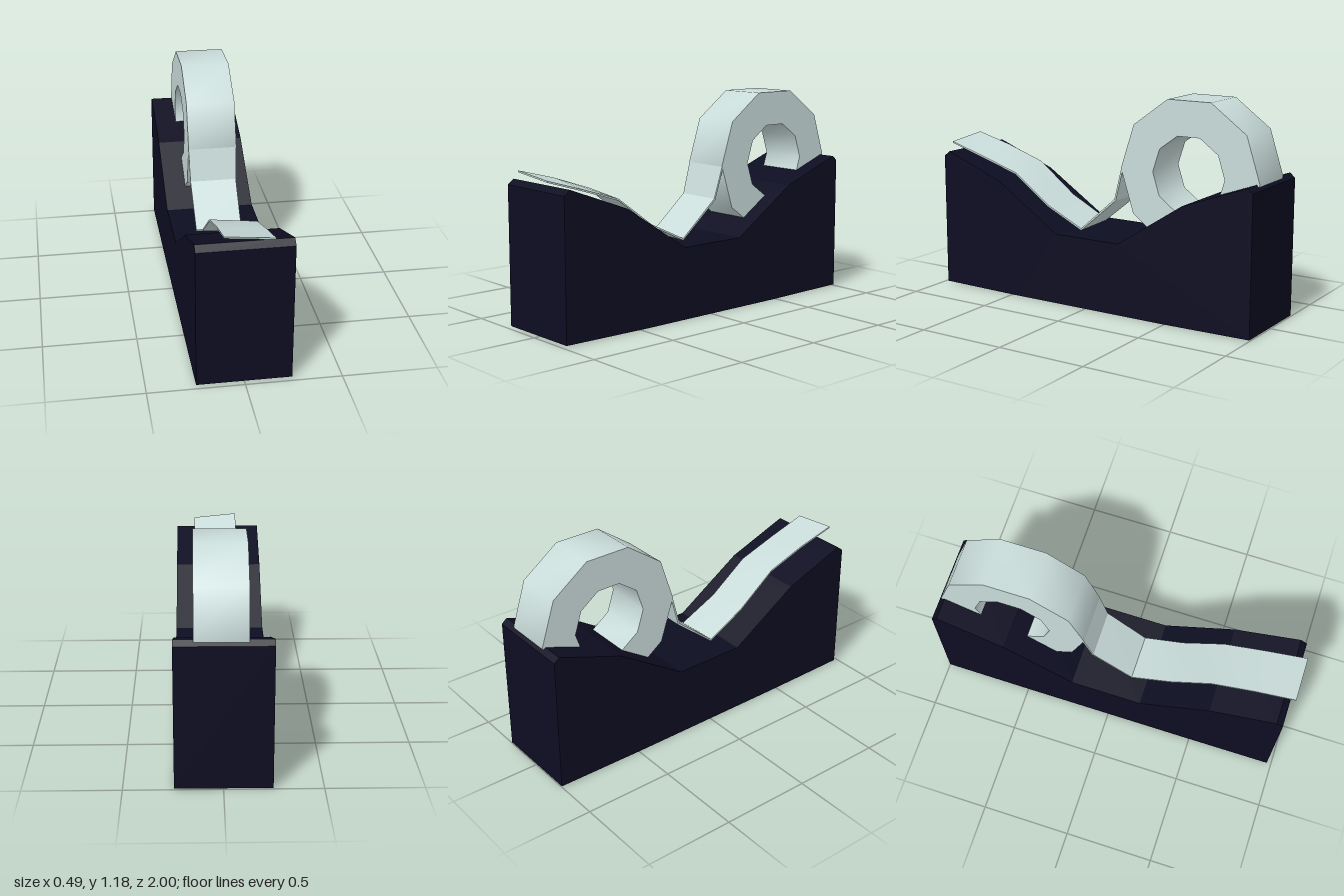
import * as THREE from 'three';
import { toCreasedNormals } from 'three/addons/utils/BufferGeometryUtils.js';

const v2 = (p) => new THREE.Vector2(p[0], p[1]);

// Extrudes a (z, y) side profile across x from x0 to x1
function sideExtrude(points, x0, x1, hole) {
  const shape = new THREE.Shape(points.map(v2));
  if (hole) shape.holes.push(new THREE.Path(hole.map(v2)));
  const geo = new THREE.ExtrudeGeometry(shape, { depth: x1 - x0, bevelEnabled: false });
  geo.rotateY(-Math.PI / 2);
  geo.translate(x1, 0, 0);
  return geo;
}

// Ten-sided ring outline
function decagon(z, y, r) {
  return Array.from({ length: 10 }, (_, i) => {
    const a = (i * Math.PI) / 5;
    return [z + r * Math.cos(a), y + r * Math.sin(a)];
  });
}

// Thin strip through stations [z, yLeft, yRight, xRight, xLeft, dz, dy];
// dz, dy offset the underside
function strip(stations) {
  const pos = [], idx = [];
  for (const [z, yl, yr, xr, xl, dz, dy] of stations) {
    pos.push(xr, yr, z, xl, yl, z, xl, yl + dy, z + dz, xr, yr + dy, z + dz);
  }
  const n = stations.length;
  for (let s = 0; s < n - 1; s++) {
    for (let k = 0; k < 4; k++) {
      const a = s * 4 + k, b = s * 4 + ((k + 1) % 4);
      idx.push(a, a + 4, b, b, a + 4, b + 4);
    }
  }
  const e = (n - 1) * 4;
  idx.push(0, 1, 2, 0, 2, 3, e, e + 2, e + 1, e, e + 3, e + 2);
  const geo = new THREE.BufferGeometry();
  geo.setAttribute('position', new THREE.Float32BufferAttribute(pos, 3));
  geo.setIndex(idx);
  return toCreasedNormals(geo, 0.5);
}

export function createModel() {
  const group = new THREE.Group();
  const navy = new THREE.MeshStandardMaterial({ color: 0x0d0d22 });
  navy.name = 'darkNavy';
  const pale = new THREE.MeshStandardMaterial({ color: 0xc9dcda });
  pale.name = 'paleTape';

  const add = (name, geo, mat) => {
    const mesh = new THREE.Mesh(geo, mat);
    mesh.name = name;
    group.add(mesh);
  };

  // Solid body with a dipped saddle top
  add('dispenserBase', sideExtrude([
    [0.975, 0.006], [0.46, 0], [-0.49, 0], [-1, 0.006],
    [-1, 0.76], [-0.97, 0.785], [-0.6, 0.65], [-0.21, 0.396],
    [0.19, 0.396], [0.58, 0.65], [0.94, 0.785], [0.975, 0.757],
  ], -0.247, 0.245), navy);

  // Roll, sunk into the back of the body
  add('tapeRoll', toCreasedNormals(sideExtrude(
    decagon(-0.578, 0.788, 0.41), -0.125, 0.145, decagon(-0.578, 0.788, 0.213),
  ), 0.8), pale);

  // Loose tape from the roll to the front edge, twisting slightly
  add('tapeStrip', strip([
    [-0.17, 0.788, 0.788, -0.125, 0.145, -0.01, -0.002],
    [-0.12, 0.61, 0.61, -0.122, 0.135, -0.008, -0.008],
    [0.103, 0.416, 0.424, -0.122, 0.13, 0, -0.011],
    [0.325, 0.521, 0.54, -0.118, 0.13, 0, -0.01],
    [0.55, 0.684, 0.712, -0.116, 0.133, 0, -0.01],
    [0.78, 0.757, 0.79, -0.113, 0.138, 0, -0.01],
    [1.0, 0.823, 0.848, -0.112, 0.14, 0, -0.009],
  ]), pale);

  return group;
}
